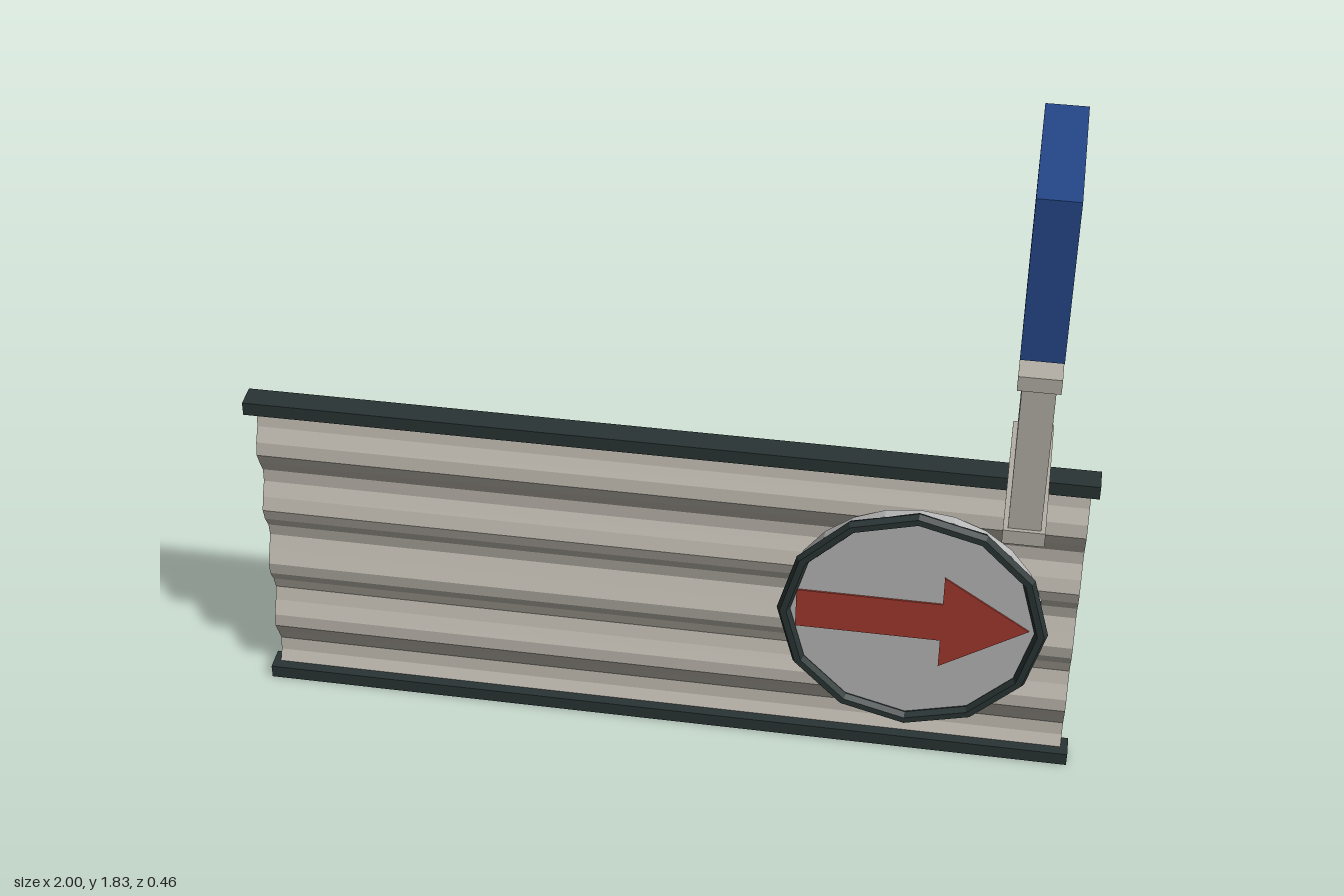
import * as THREE from 'three';

const mat = (color, extra = {}) => {
  const m = new THREE.MeshStandardMaterial({ flatShading: true, ...extra });
  m.color.set(color);
  return m;
};
const dark = mat(0x2a3434);
const blue = mat(0x25488a);
const stone = mat(0xb4b0a6);
const sheetMat = mat(0xb8b3a9, { side: THREE.DoubleSide });
const grey = mat(0xbababa);
const red = mat(0xa23a2e);

export function createModel() {
  const model = new THREE.Group();

  const add = (name, geometry, material, x, y, z, parent = model) => {
    const mesh = new THREE.Mesh(geometry, material);
    mesh.name = name;
    mesh.position.set(x, y, z);
    parent.add(mesh);
    return mesh;
  };
  // Box given by its lower and upper limits on each axis
  const box = (name, material, [x0, x1], [y0, y1], [z0, z1], parent) =>
    add(name, new THREE.BoxGeometry(x1 - x0, y1 - y0, z1 - z0), material,
      (x0 + x1) / 2, (y0 + y1) / 2, (z0 + z1) / 2, parent);

  // Corrugated barrier: a rippled sheet between two rails
  const barrier = new THREE.Group();
  barrier.name = 'barrier';
  model.add(barrier);
  const sheet = new THREE.PlaneGeometry(1.965, 0.8, 1, 24);
  const p = sheet.attributes.position;
  for (let i = 0; i < p.count; i++) {
    const y = p.getY(i) + 0.427;
    p.setZ(i, 0.018 * Math.sin((2 * Math.PI * (y - 0.657)) / 0.176));
  }
  sheet.computeVertexNormals();
  add('corrugatedSheet', sheet, sheetMat, 0, 0.427, -0.201, barrier);
  box('bottomRail', dark, [-1, 1], [0, 0.034], [-0.231, -0.171], barrier);
  box('topRail', dark, [-1, 1], [0.82, 0.854], [-0.231, -0.171], barrier);

  // Round direction sign with a twelve-sided frame
  const sign = new THREE.Group();
  sign.name = 'directionSign';
  sign.position.set(0.6, 0.43, 0);
  model.add(sign);
  const disc = new THREE.CylinderGeometry(0.306, 0.306, 0.025, 24).rotateX(Math.PI / 2);
  add('signDisc', disc, grey, 0, 0, -0.1625, sign);
  add('signFrame', new THREE.TorusGeometry(0.304, 0.016, 6, 12), dark, 0, 0, -0.142, sign);

  // Arrow pointing to +x
  const arrow = new THREE.Shape([
    [-0.275, -0.055], [0.07, -0.055], [0.07, -0.135], [0.275, 0],
    [0.07, 0.135], [0.07, 0.055], [-0.275, 0.055],
  ].map(([x, y]) => new THREE.Vector2(x, y)));
  add('arrow', new THREE.ExtrudeGeometry(arrow, { depth: 0.004, bevelEnabled: false }),
    red, 0, 0, -0.15, sign);

  // Projecting lamp box with end caps and wall rods
  const bracket = new THREE.Group();
  bracket.name = 'projectingBox';
  model.add(bracket);
  box('boxBody', stone, [0.8, 0.87], [1.0, 1.4], [-0.155, 0.222], bracket);
  for (const [name, y] of [['lowerCap', 0.985], ['upperCap', 1.38]])
    box(name, stone, [0.79, 0.88], [y, y + 0.035], [-0.164, 0.231], bracket);
  for (const y of [1.057, 1.343]) {
    const rod = new THREE.CylinderGeometry(0.01, 0.01, 0.085, 6).rotateX(Math.PI / 2);
    add('wallRod', rod, dark, 0.835, y, -0.1885, bracket);
  }

  // Blue panel above the box
  box('bluePanel', blue, [0.79, 0.88], [1.45, 1.828], [-0.155, 0.222]);

  return model;
}
